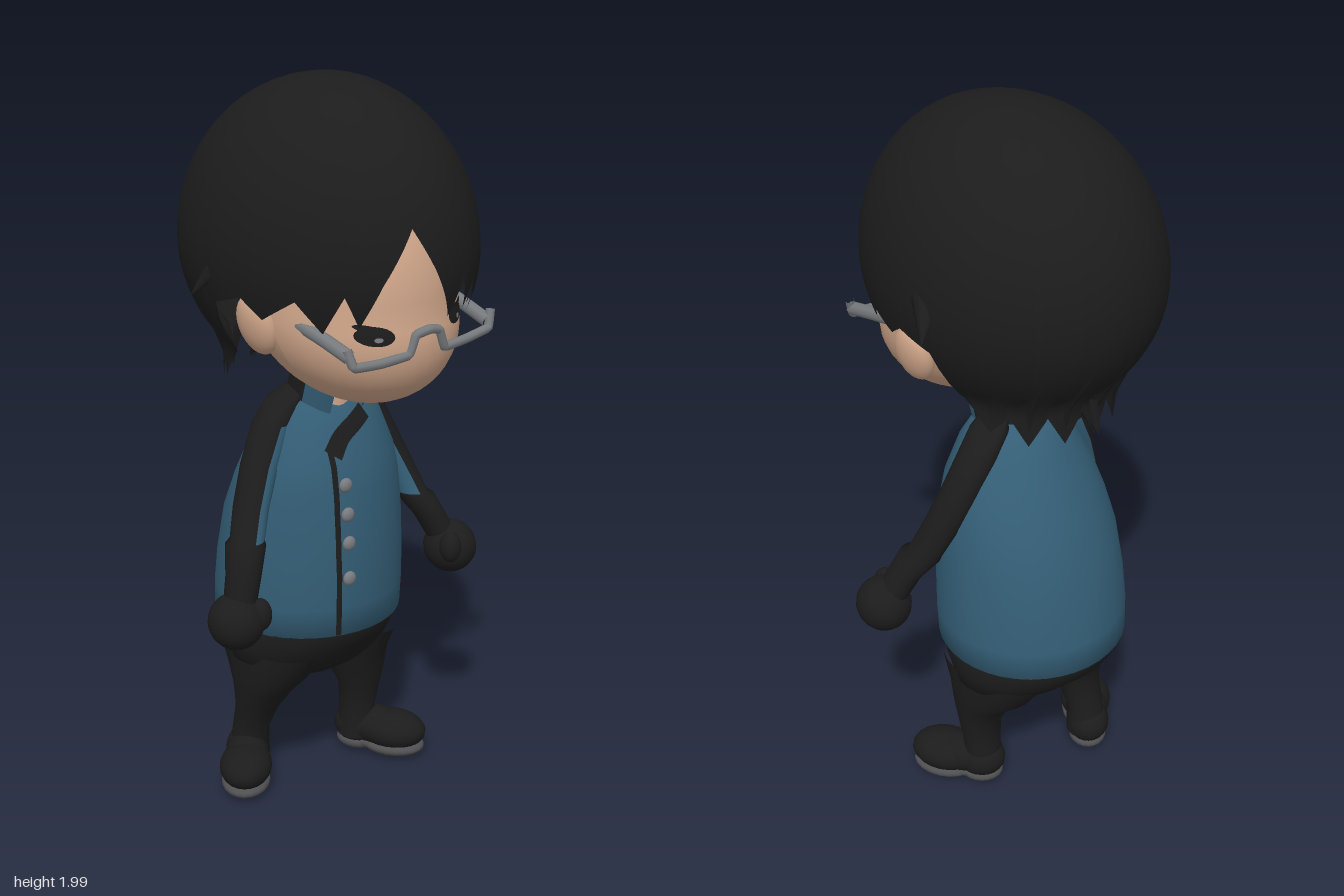
import * as THREE from 'three';

const mat = (name, color, side = THREE.FrontSide) => {
  const m = new THREE.MeshStandardMaterial({ color, side });
  m.name = name;
  return m;
};

// Closed-around grid: rows run downward, columns run round y from the front toward +x.
function grid(rows, cols, point, pick = () => 0) {
  const pos = [], lists = [[], []];
  for (let i = 0; i <= rows; i++)
    for (let j = 0; j < cols; j++) pos.push(...point(i, (j / cols) * Math.PI * 2));
  for (let i = 0; i < rows; i++)
    for (let j = 0; j < cols; j++) {
      const k = (j + 1) % cols, a = i * cols + j, b = i * cols + k;
      lists[pick(i, ((j + 0.5) / cols) * Math.PI * 2)].push(a, a + cols, b, b, a + cols, b + cols);
    }
  const g = new THREE.BufferGeometry();
  g.setAttribute('position', new THREE.Float32BufferAttribute(pos, 3));
  g.setIndex([...lists[0], ...lists[1]]);
  g.addGroup(0, lists[0].length, 0);
  if (lists[1].length) g.addGroup(lists[0].length, lists[1].length, 1);
  g.computeVertexNormals();
  return g;
}

// Loft through horizontal ellipses given as [y, cx, cz, rx, rz].
const loft = (rings, cols = 28, pick) => grid(rings.length - 1, cols, (i, a) => {
  const [y, cx, cz, rx, rz] = rings[i];
  return [cx + rx * Math.sin(a), y, cz + rz * Math.cos(a)];
}, pick);

const jacketRings = [
  [1.18, -0.01, -0.05, 0.09, 0.08], [1.15, -0.005, -0.055, 0.13, 0.11], [1.1, 0, -0.06, 0.168, 0.14],
  [1.0, 0, -0.07, 0.212, 0.185], [0.92, 0, -0.083, 0.235, 0.21], [0.82, 0, -0.1, 0.252, 0.235],
  [0.7, 0, -0.112, 0.262, 0.25], [0.6, 0.002, -0.122, 0.266, 0.256], [0.52, 0.003, -0.127, 0.264, 0.256]];

// Front surface depth of the jacket at x, y.
function jacketZ(x, y) {
  let i = 0;
  while (i < jacketRings.length - 2 && jacketRings[i + 1][0] > y) i++;
  const a = jacketRings[i], b = jacketRings[i + 1], t = (a[0] - y) / (a[0] - b[0]);
  const [, cx, cz, rx, rz] = a.map((v, k) => v + (b[k] - v) * t);
  return cz + rz * Math.sqrt(Math.max(0, 1 - ((x - cx) / rx) ** 2));
}

const FACE = { x: -0.025, y: 1.44, z: 0.08, rx: 0.275, rz: 0.268, shear: 0.32 };
function faceZ(x, y) {
  const d = y - FACE.y, ry = d < 0 ? 0.25 : 0.35;
  const q = 1 - ((x - FACE.x) / FACE.rx) ** 2 - (d / ry) ** 2;
  return FACE.z + (d < 0 ? -FACE.shear * d : 0) + FACE.rz * Math.sqrt(Math.max(0, q));
}

// Lower hair edge as [degrees from front, y].
const hairEdge = [
  [-180, 1.2], [-170, 1.28], [-160, 1.2], [-150, 1.28], [-140, 1.2], [-130, 1.28], [-120, 1.23], [-112, 1.28],
  [-104, 1.32], [-98, 1.46], [-84, 1.49], [-76, 1.44], [-62, 1.5], [-52, 1.42], [-44, 1.52], [-38, 1.44],
  [-30, 1.55], [-18, 1.68], [-8, 1.58], [4, 1.45], [10, 1.55], [16, 1.46], [20, 1.53], [30, 1.43], [36, 1.51],
  [42, 1.43], [48, 1.51], [58, 1.42], [66, 1.48], [76, 1.45], [84, 1.49], [98, 1.46], [104, 1.32], [112, 1.28],
  [120, 1.23], [130, 1.28], [140, 1.2], [150, 1.28], [160, 1.2], [170, 1.28], [180, 1.2]];
function hairEdgeY(deg) {
  const i = Math.max(1, hairEdge.findIndex(e => e[0] >= deg - 1e-6));
  const [a, ya] = hairEdge[i - 1], [b, yb] = hairEdge[i];
  return ya + (yb - ya) * (deg - a) / (b - a);
}

export function createModel() {
  const model = new THREE.Group();
  const black = mat('black cloth and hair', 0x1c1c1c);
  const blackOpen = mat('black sheet', 0x1c1c1c, THREE.DoubleSide);
  const blue = mat('blue jacket', 0x345e76);
  const blueOpen = mat('blue collar sheet', 0x345e76, THREE.DoubleSide);
  const skin = mat('skin', 0xd0a68a);
  const metal = mat('grey metal', 0x787b7e);
  const soleGrey = mat('sole grey', 0x505052);

  const add = (name, geo, material, parent = model) => {
    const m = new THREE.Mesh(geo, material);
    m.name = name;
    parent.add(m);
    return m;
  };
  const ball = (name, p, r, material, parent) => {
    const m = add(name, new THREE.SphereGeometry(1, 20, 14), material, parent);
    m.position.set(...p);
    m.scale.set(...r);
    return m;
  };
  const tube = (name, pts, r, material) => add(name, new THREE.TubeGeometry(
    new THREE.CatmullRomCurve3(pts.map(p => new THREE.Vector3(...p)), false, 'catmullrom', 0.1),
    pts.length * 8, r, 8), material);

  // Face, ears and neck
  const face = new THREE.SphereGeometry(1, 36, 28), fp = face.attributes.position;
  for (let i = 0; i < fp.count; i++) {
    const y = fp.getY(i), d = y * (y < 0 ? 0.25 : 0.35);
    fp.setXYZ(i, FACE.x + fp.getX(i) * FACE.rx, FACE.y + d,
      FACE.z + fp.getZ(i) * FACE.rz - (d < 0 ? FACE.shear * d : 0));
  }
  face.computeVertexNormals();
  add('face', face, skin);
  for (const [s, x] of [[1, 0.262], [-1, -0.299]]) {
    const ear = ball('ear', [x, 1.41, 0.035], [0.036, 0.08, 0.062], skin);
    ear.rotation.set(-0.15, 0, -0.25 * s);
  }
  add('neck', new THREE.CylinderGeometry(0.058, 0.06, 0.22, 20), skin).position.set(-0.025, 1.2, -0.005);

  // Eyes wrapped on the face
  const patch = (name, cx, cy, w, h, tilt, lift, material) => {
    const g = new THREE.RingGeometry(0.001, 1, 20, 3), p = g.attributes.position;
    for (let i = 0; i < p.count; i++) {
      const u = p.getX(i) * w, v = p.getY(i) * h;
      const x = cx + u * Math.cos(tilt) - v * Math.sin(tilt), y = cy + u * Math.sin(tilt) + v * Math.cos(tilt);
      p.setXYZ(i, x, y, faceZ(x, y) + lift);
    }
    g.computeVertexNormals();
    add(name, g, material);
  };
  for (const [s, x, y] of [[-1, -0.168, 1.411], [1, 0.104, 1.426]]) {
    patch('eye', x, y, 0.044, 0.024, 0.12 * s, 0.004, blackOpen);
    patch('eyeGlint', x + 0.004, y - 0.008, 0.01, 0.006, 0, 0.007, metal);
    patch('eyelash', x + s * 0.012, y + 0.018, 0.034, 0.009, 0.3 * s, 0.006, blackOpen);
  }

  // Half-rim glasses
  tube('glassesFrame', [[-0.258, 1.395, 0.315], [-0.25, 1.352, 0.33], [-0.17, 1.35, 0.342], [-0.085, 1.357, 0.35],
    [-0.068, 1.405, 0.356], [-0.025, 1.413, 0.36], [0.01, 1.406, 0.36], [0.03, 1.358, 0.358], [0.11, 1.362, 0.355],
    [0.195, 1.374, 0.352], [0.21, 1.42, 0.345]], 0.012, metal);
  tube('glassesTemple', [[0.198, 1.39, 0.35], [0.212, 1.42, 0.24], [0.222, 1.44, 0.16]], 0.018, metal);
  tube('glassesTemple', [[-0.252, 1.375, 0.32], [-0.262, 1.405, 0.24], [-0.27, 1.43, 0.16]], 0.018, metal);

  // Hair cap with a jagged lower edge, a little wider at the back
  add('hair', grid(22, 180, (i, a) => {
    const deg = THREE.MathUtils.radToDeg(a), e = hairEdgeY(deg > 180 ? deg - 360 : deg) - 1.58;
    const phi = Math.acos(Math.max(-1, e / (e > 0 ? 0.42 : 0.38))) * i / 22;
    const c = Math.cos(phi), s = phi > Math.PI / 2 ? Math.max(0.71, Math.sin(phi)) : Math.sin(phi);
    const wide = 0.343 * (1 - 0.05 * Math.cos(a));
    return [-0.03 + wide * s * Math.sin(a), 1.58 + c * (c > 0 ? 0.42 : 0.38), 0.43 * s * Math.cos(a)];
  }), blackOpen);
  const spike = (name, from, to, r) => {
    const a = new THREE.Vector3(...from), b = new THREE.Vector3(...to), d = b.clone().sub(a);
    const m = add(name, new THREE.ConeGeometry(r, d.length(), 12), black);
    m.position.copy(a).add(b).multiplyScalar(0.5);
    m.quaternion.setFromUnitVectors(new THREE.Vector3(0, 1, 0), d.normalize());
  };
  spike('hairFlick', [0.19, 1.7, 0.04], [0.355, 1.515, -0.095], 0.085);
  spike('hairFlick', [-0.25, 1.7, 0.03], [-0.39, 1.47, -0.115], 0.08);
  spike('napeSpike', [-0.03, 1.34, -0.25], [-0.03, 1.2, -0.32], 0.06);

  // Jacket, closed at neck and hem, with collar, placket and buttons
  add('jacket', loft([[1.185, -0.01, -0.05, 0, 0], ...jacketRings, [0.517, 0.003, -0.127, 0.22, 0.21]], 40), blue);
  const collar = new THREE.Group();
  collar.name = 'collar';
  collar.position.set(-0.01, 1.195, -0.02);
  collar.rotation.x = 0.3;
  model.add(collar);
  for (const [from, to, m] of [[22, 75, blueOpen], [75, 280, blackOpen], [280, 325, blueOpen]])
    add('collarPanel', new THREE.CylinderGeometry(0.108, 0.105, 0.13, 16, 2, true,
      THREE.MathUtils.degToRad(from), THREE.MathUtils.degToRad(to - from)), m, collar);
  const ribbon = (name, pts, w) => {
    const curve = new THREE.CatmullRomCurve3(pts.map(([x, y]) => new THREE.Vector3(x, y, 0)));
    const g = new THREE.PlaneGeometry(1, 1, 4, 40), p = g.attributes.position;
    for (let i = 0; i < p.count; i++) {
      const t = 0.5 - p.getY(i), c = curve.getPoint(t), d = curve.getTangent(t), o = p.getX(i) * w;
      const x = c.x - d.y * o, y = c.y + d.x * o;
      p.setXYZ(i, x, y, jacketZ(x, y) + 0.006);
    }
    g.computeVertexNormals();
    add(name, g, blackOpen);
  };
  ribbon('placket', [[-0.1, 1.04], [-0.105, 0.8], [-0.1, 0.525]], 0.014);
  ribbon('lapelTrim', [[0.03, 1.125], [-0.01, 1.105], [-0.06, 1.075], [-0.095, 1.03]], 0.045);
  for (const y of [0.95, 0.87, 0.79, 0.69])
    ball('button', [-0.075, y, jacketZ(-0.075, y) + 0.004], [0.02, 0.02, 0.013], metal);

  // Arms: black outside, blue inside down to the cuff
  const arms = [
    [1, -0.25, [[1.2, 0.075, -0.06, 0.02, 0.04], [1.17, 0.11, -0.07, 0.048, 0.053], [1.1, 0.16, -0.072, 0.054, 0.054],
      [1.0, 0.21, -0.055, 0.05, 0.053], [0.9, 0.25, -0.025, 0.045, 0.053], [0.82, 0.275, 0.008, 0.043, 0.052],
      [0.81, 0.28, 0.02, 0.051, 0.062], [0.75, 0.31, 0.05, 0.044, 0.05], [0.67, 0.345, 0.075, 0.042, 0.046]],
      [0.356, 0.65, 0.088]],
    [-1, 0.25, [[1.19, -0.085, -0.06, 0.02, 0.04], [1.16, -0.12, -0.07, 0.048, 0.053], [1.1, -0.165, -0.072, 0.054, 0.054],
      [1.0, -0.22, -0.06, 0.05, 0.053], [0.9, -0.268, -0.04, 0.045, 0.052], [0.82, -0.3, -0.02, 0.043, 0.05],
      [0.81, -0.31, -0.015, 0.051, 0.058], [0.73, -0.33, -0.002, 0.045, 0.05], [0.64, -0.348, 0, 0.042, 0.046]],
      [-0.36, 0.612, 0.002]]];
  for (const [s, cut, rings, hand] of arms) {
    add(s > 0 ? 'leftArm' : 'rightArm',
      loft(rings, 24, (i, a) => (i > 1 && i < 5 && s * Math.sin(a) < cut ? 1 : 0)), [black, blue]);
    ball('hand', hand, [0.074, 0.076, 0.078], black);
    ball('thumb', [hand[0] - s * 0.045, hand[1] + 0.02, hand[2] + 0.045], [0.03, 0.045, 0.032], black);
  }

  // Trousers: the hips blend into wide thighs that taper to the ankle
  add('hips', loft([[0.56, 0, -0.125, 0.24, 0.235], [0.52, 0, -0.127, 0.262, 0.253], [0.46, 0, -0.13, 0.257, 0.222],
    [0.41, 0, -0.122, 0.247, 0.182], [0.37, 0, -0.118, 0.2, 0.14], [0.345, 0, -0.115, 0.13, 0.1],
    [0.335, 0, -0.115, 0, 0]], 36), black);
  const legs = [
    [1, [-0.115, -0.11, -0.085, -0.078, -0.086, -0.085], 0.5],
    [-1, [-0.125, -0.125, -0.14, -0.16, -0.19, -0.2], -0.75]];
  for (const [s, z, yaw] of legs) {
    const shape = [[0.44, 0.135, 0.11, 0.18], [0.36, 0.143, 0.1, 0.132], [0.3, 0.15, 0.084, 0.09],
      [0.23, 0.16, 0.063, 0.06], [0.15, 0.16, 0.053, 0.052], [0.06, 0.16, 0.06, 0.058]];
    add(s > 0 ? 'leftLeg' : 'rightLeg', loft(shape.map(([y, x, rx, rz], i) => [y, s * x, z[i], rx, rz]), 24), black);

    // Foot with a thin grey sole
    const foot = new THREE.Group();
    foot.name = s > 0 ? 'leftFoot' : 'rightFoot';
    foot.position.set(s * 0.165, 0, z[5]);
    foot.rotation.y = yaw;
    model.add(foot);
    ball('toe', [0, 0.08, 0.105], [0.074, 0.056, 0.1], black, foot);
    ball('instep', [0, 0.085, 0.05], [0.062, 0.058, 0.08], black, foot);
    ball('heel', [0, 0.083, 0], [0.062, 0.062, 0.072], black, foot);
    ball('toeSole', [0, 0.035, 0.106], [0.069, 0.029, 0.095], soleGrey, foot);
    ball('midSole', [0, 0.04, 0.04], [0.052, 0.027, 0.07], soleGrey, foot);
    ball('heelSole', [0, 0.036, 0], [0.055, 0.029, 0.065], soleGrey, foot);
  }
  return model;
}
